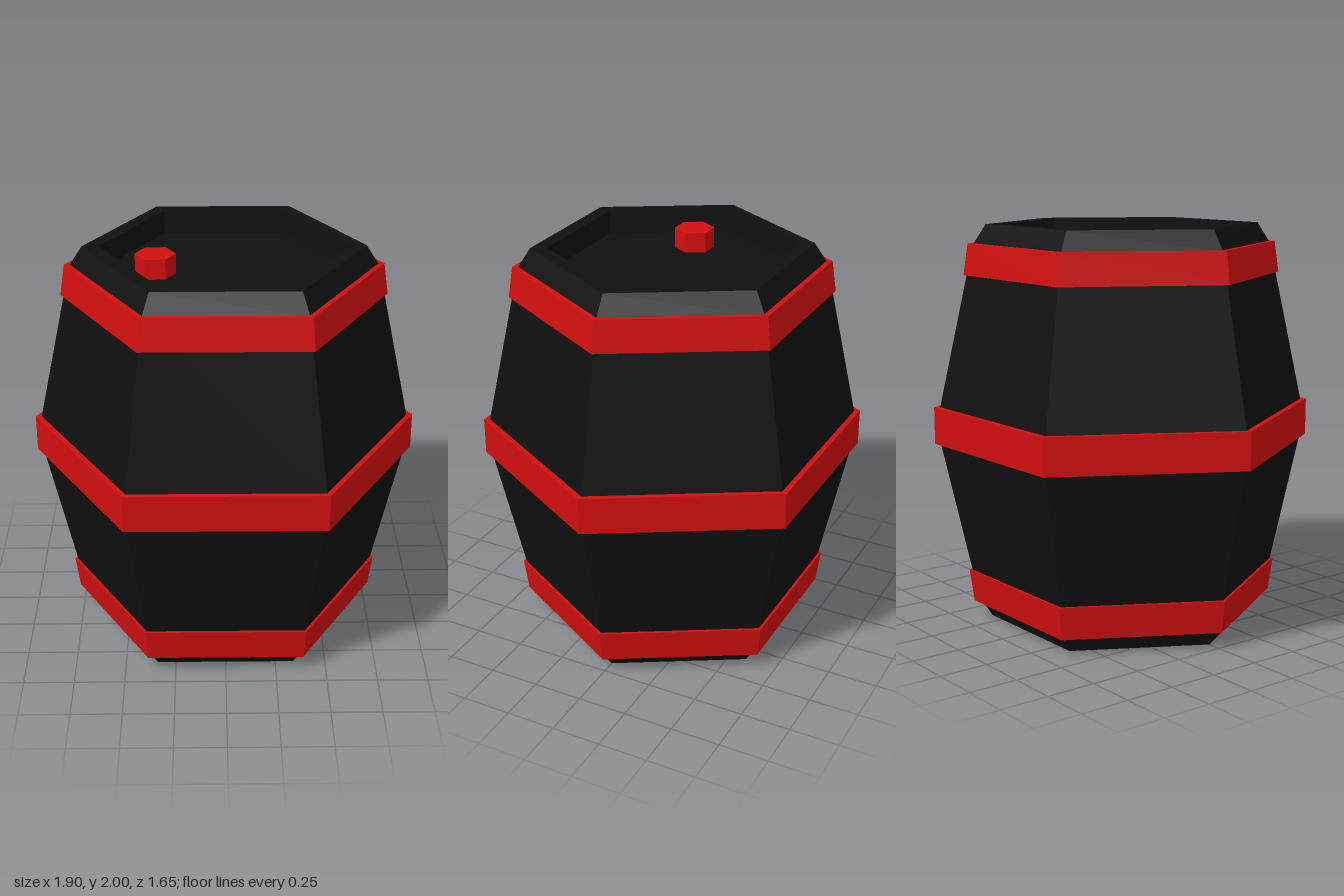
import * as THREE from 'three';

const SIDES = 6;

// Six-sided lathe with a corner on the +x axis; the profile runs upward on the outside
function hexLathe(name, profile, material) {
  const points = profile.map(([r, y]) => new THREE.Vector2(r, y));
  const mesh = new THREE.Mesh(new THREE.LatheGeometry(points, SIDES, Math.PI / 2), material);
  mesh.name = name;
  return mesh;
}

// Closed hoop with its own bottom and top radius
function hoop(name, y0, r0, y1, r1, material) {
  const t = 0.06;
  return hexLathe(name, [[r0 - t, y0], [r0, y0], [r1, y1], [r1 - t, y1], [r0 - t, y0]], material);
}

export function createModel() {
  const black = new THREE.MeshStandardMaterial({ color: 0x101010, flatShading: true });
  const red = new THREE.MeshStandardMaterial({ color: 0xd00f0f, flatShading: true });
  const barrel = new THREE.Group();
  barrel.name = 'barrel';

  // Bulging body with a recessed lid at both ends
  barrel.add(hexLathe('body', [
    [0, 0.12], [0.6, 0.12], [0.6, 0], [0.68, 0], [0.745, 0.1], [0.923, 0.91],
    [0.923, 1.09], [0.745, 1.9], [0.68, 2], [0.6, 2], [0.6, 1.88], [0, 1.88],
  ], black));

  // Hoops
  barrel.add(
    hoop('bottomHoop', 0.083, 0.77, 0.248, 0.793, red),
    hoop('middleHoop', 0.91, 0.952, 1.095, 0.952, red),
    hoop('topHoop', 1.752, 0.793, 1.907, 0.77, red),
  );

  // Bung standing on the top lid
  const bung = new THREE.Mesh(
    new THREE.CylinderGeometry(0.098, 0.098, 0.12, SIDES, 1, false, Math.PI / 2), red);
  bung.name = 'bung';
  bung.position.set(-0.328, 1.92, 0.048);
  barrel.add(bung);

  return barrel;
}
